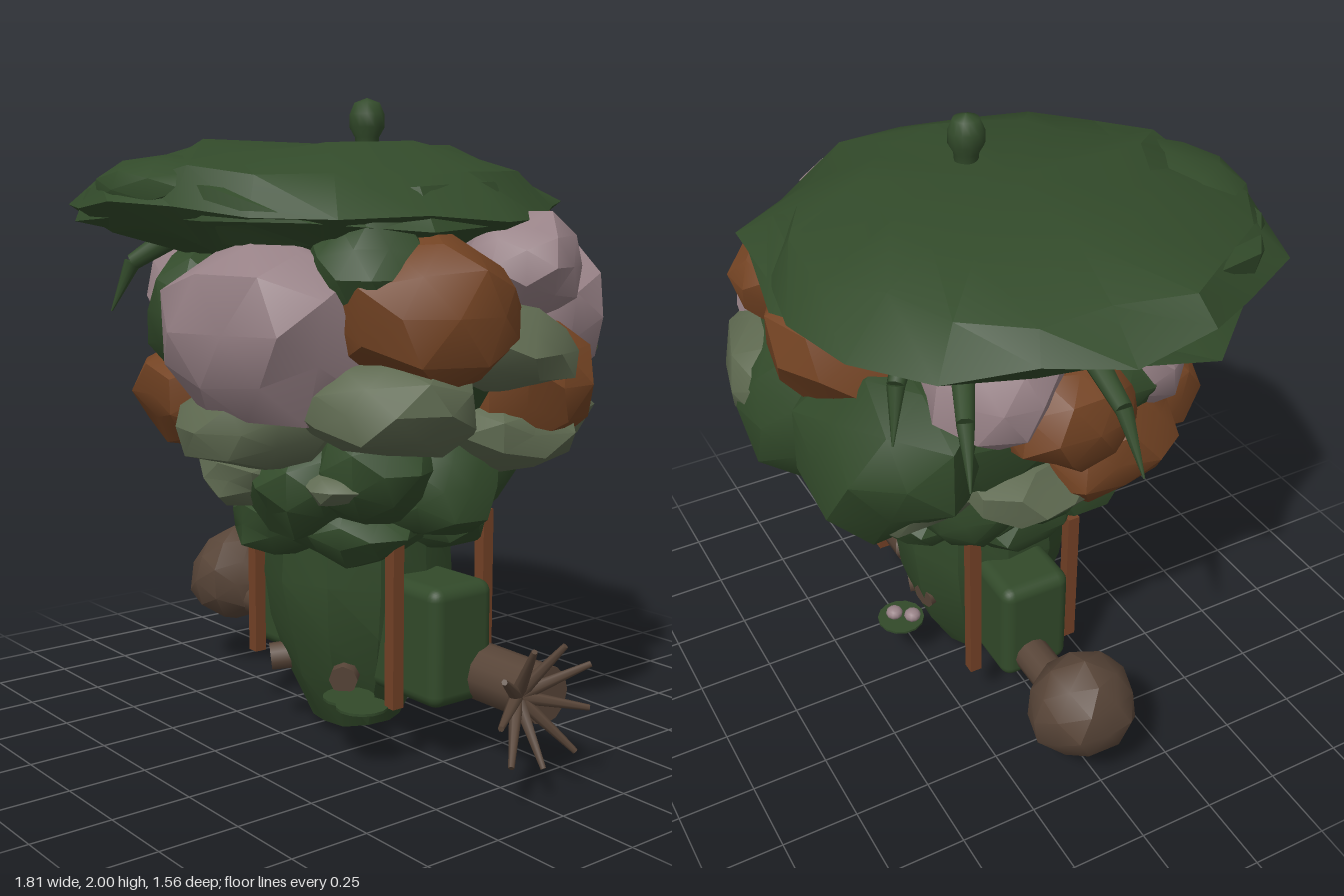
import * as THREE from 'three';
import { toCreasedNormals, mergeVertices } from 'three/addons/utils/BufferGeometryUtils.js';
import { RoundedBoxGeometry } from 'three/addons/geometries/RoundedBoxGeometry.js';

const material = (name, color) => new THREE.MeshStandardMaterial({ name, color });

export function createModel() {
  const model = new THREE.Group();
  model.name = 'treeCreature';
  const green = material('darkGreen', 0x324a2a);
  const moss = material('greyGreen', 0x5d684f);
  const pink = material('dustyPink', 0x978186);
  const rust = material('rust', 0x734323);
  const bark = material('bark', 0x584538);
  const post = material('postWood', 0x734126);

  let seed = 7;
  const rand = () => ((seed = (seed * 16807) % 2147483647) / 2147483647);
  const add = (name, geometry, mat, pos = [0, 0, 0], parent = model) => {
    const mesh = new THREE.Mesh(geometry, mat);
    mesh.name = name;
    mesh.position.set(...pos);
    parent.add(mesh);
    return mesh;
  };

  // Irregular boulder: a faceted ball with each corner pushed in or out
  function clump(name, mat, pos, size, rough = 0.24, parent = model) {
    let g = new THREE.IcosahedronGeometry(1, 1);
    g.deleteAttribute('uv');
    g.deleteAttribute('normal');
    g = mergeVertices(g, 1e-3);
    const p = g.attributes.position;
    for (let i = 0; i < p.count; i++) {
      const k = 1.03 + (rand() - 0.5) * rough;
      p.setXYZ(i, p.getX(i) * k * size[0], p.getY(i) * k * size[1], p.getZ(i) * k * size[2]);
    }
    return add(name, toCreasedNormals(g, 0.6), mat, pos, parent);
  }

  // Tapered rod between two points
  function rod(name, mat, a, b, r0, r1, sides = 8) {
    const from = new THREE.Vector3(...a), dir = new THREE.Vector3(...b).sub(from);
    const mesh = add(name, new THREE.CylinderGeometry(r1, r0, dir.length(), sides), mat);
    mesh.position.copy(from).addScaledVector(dir, 0.5);
    mesh.quaternion.setFromUnitVectors(new THREE.Vector3(0, 1, 0), dir.normalize());
  }

  // Revolved form with an irregular outline; bend lowers or raises points by x
  function roughLathe(points, sides, rough, lift, bend = () => 0) {
    const g = new THREE.LatheGeometry(points.map(q => new THREE.Vector2(...q)), sides);
    const p = g.attributes.position, n = points.length;
    const jitter = Array.from({ length: sides * n }, () => [1 + (rand() - 0.5) * rough, (rand() - 0.5) * lift]);
    for (let i = 0; i < p.count; i++) {
      const row = i % n, col = Math.floor(i / n) % sides;
      if (row === 0 || row === n - 1) continue;
      const [s, dy] = jitter[col * n + row];
      const x = p.getX(i) * s;
      p.setXYZ(i, x, p.getY(i) + dy + bend(x), p.getZ(i) * s);
    }
    return toCreasedNormals(g, 0.5);
  }

  // Trunk
  add('trunk', roughLathe([[0, 0], [0.14, 0.04], [0.22, 0.2], [0.27, 0.36], [0.295, 0.52], [0.28, 0.75], [0, 0.8]],
    11, 0.08, 0.02), green, [0.07, 0, -0.01]);

  // Lower foliage
  clump('foliageCore', green, [0.1, 0.88, 0], [0.42, 0.26, 0.38]);
  for (let i = 0; i < 10; i++) {
    const a = (i / 10) * Math.PI * 2, c = Math.cos(a), s = Math.sin(a);
    clump('lowerFoliage', green, [0.1 + 0.34 * c, 0.86 + 0.06 * (i % 2), 0.3 * s], [0.19, 0.17, 0.18]);
    if (i % 2) clump('underFoliage', green, [0.09 + 0.22 * c, 0.71, 0.24 * s], [0.2, 0.11, 0.19]);
  }

  // Crown of coloured clumps set around a core: angle from +x towards +z, height, half width
  const crown = new THREE.Group();
  crown.name = 'crown';
  model.add(crown);
  clump('crownCore', green, [0.08, 1.24, -0.03], [0.57, 0.42, 0.57], 0.2, crown);
  const ring = (name, mat, aspect, list) => list.forEach(([degrees, y, w]) => {
    const a = THREE.MathUtils.degToRad(degrees), r = y < 0.95 ? 0.39 : y < 1.06 ? 0.46 : 0.51;
    const mesh = clump(name, mat, [0.09 + r * Math.cos(a), y, r * Math.sin(a) - 0.03],
      [0.08 + 0.6 * w, w * aspect, w], 0.26, crown);
    mesh.rotation.y = -a;
  });
  ring('pinkClump', pink, 0.97, [[70, 1.33, 0.31], [143, 1.39, 0.22], [339, 1.5, 0.17], [311, 1.34, 0.24], [200, 1.43, 0.2]]);
  ring('rustClump', rust, 0.85, [[159, 1.12, 0.22], [124, 1.1, 0.2], [20, 1.38, 0.27], [292, 1.51, 0.18],
    [337, 1.16, 0.22], [252, 1.48, 0.24], [177, 1.3, 0.22]]);
  ring('mossClump', moss, 0.56, [[82, 1.04, 0.25], [33, 1.12, 0.27], [349, 1.26, 0.24], [340, 1.02, 0.23],
    [302, 1.04, 0.28], [289, 1.22, 0.3], [233, 0.99, 0.21], [188, 1.01, 0.19], [97, 0.87, 0.17], [49, 0.87, 0.12]]);
  ring('greenClump', green, 1.05, [[113, 1.36, 0.18], [38, 1.48, 0.17], [276, 1.17, 0.26], [233, 1.19, 0.29], [157, 1.34, 0.17]]);

  // Wide ragged cap in two layers, its right side lower than its left
  const tilt = x => -0.035 * x * Math.abs(x);
  add('cap', roughLathe([[0, 1.54], [0.48, 1.55], [0.64, 1.59], [0.77, 1.67], [0.65, 1.77], [0.42, 1.85], [0, 1.865]],
    19, 0.14, 0.045, tilt), green, [-0.1, 0, 0.02]);
  add('capFringe', roughLathe([[0, 1.56], [0.55, 1.56], [0.73, 1.63], [0.67, 1.73], [0, 1.8]],
    14, 0.2, 0.06, tilt), green, [-0.09, 0, 0.03]);
  clump('capBump', green, [-0.12, 1.72, 0.55], [0.29, 0.1, 0.2], 0.06);

  // Egg-shaped knob on a narrow neck
  const profile = [[0.035, 1.84], [0.038, 1.88], [0.055, 1.91], [0.055, 1.95], [0.04, 1.985], [0, 2]];
  add('knob', new THREE.LatheGeometry(profile.map(q => new THREE.Vector2(...q)), 14), green, [0.075, 0, -0.04]);

  // Bent thorns hanging from under the cap, given by tip position
  [[-0.9, -0.03], [-0.74, -0.46], [-0.35, 0.63], [-0.46, -0.55]].forEach(([x, z]) => {
    const elbow = [x * 0.87, 1.5, z * 0.92];
    rod('thornBase', green, [x * 0.6, 1.6, z * 0.72], elbow, 0.04, 0.026);
    rod('thornTip', green, elbow, [x, 1.35, z], 0.026, 0.003);
  });

  // Rounded body block and four posts
  add('bodyBlock', new RoundedBoxGeometry(0.94, 0.37, 0.24, 3, 0.04), green, [0.09, 0.375, -0.03]);
  for (const x of [-0.27, 0.445]) {
    add('frontPost', new THREE.BoxGeometry(0.04, 0.51, 0.04), post, [x, 0.445, 0.15]);
    add('backPost', new THREE.BoxGeometry(0.04, 0.56, 0.04), post, [x, 0.47, -0.21]);
  }

  // Right arm with a heavy club
  rod('rightArm', bark, [-0.2, 0.27, -0.05], [-0.62, 0.27, -0.05], 0.06, 0.06, 12);
  clump('club', bark, [-0.695, 0.33, -0.05], [0.16, 0.165, 0.17], 0.16);

  // Left arm with a star of spikes
  rod('leftArm', bark, [0.3, 0.27, -0.13], [0.8, 0.265, -0.13], 0.09, 0.088, 12);
  for (let i = 0; i < 9; i++) {
    const a = (i / 9) * Math.PI * 2 + 0.3, r = i % 2 ? 0.2 : 0.18;
    rod('spike', bark, [0.78, 0.28, -0.03], [0.9, 0.28 + r * Math.cos(a), -0.03 + r * Math.sin(a)], 0.022, 0.009, 6);
  }

  // Root stubs around the trunk
  [[-0.08, 0.23, 0.23], [0.25, 0.23, 0.19], [0.16, 0.25, -0.24], [0, 0.31, -0.26], [0.27, 0.32, -0.22]].forEach(([x, y, z]) =>
    rod('rootStub', bark, [0.07, y + 0.03, 0], [x, y, z], 0.05, 0.045));

  // Leaf discs and berries
  [[0.38, 0.22], [0.29, 0.2], [0.06, -0.32]].forEach(([x, z]) =>
    add('leafDisc', new THREE.CylinderGeometry(0.08, 0.08, 0.008, 14), green, [x, 0.19, z]));
  for (const side of [-1, 1]) {
    const berry = add('berry', new THREE.SphereGeometry(0.029, 10, 8), pink, [0.05 + 0.02 * side, 0.213, -0.315 - 0.025 * side]);
    berry.scale.y = 0.75;
  }

  return model;
}
